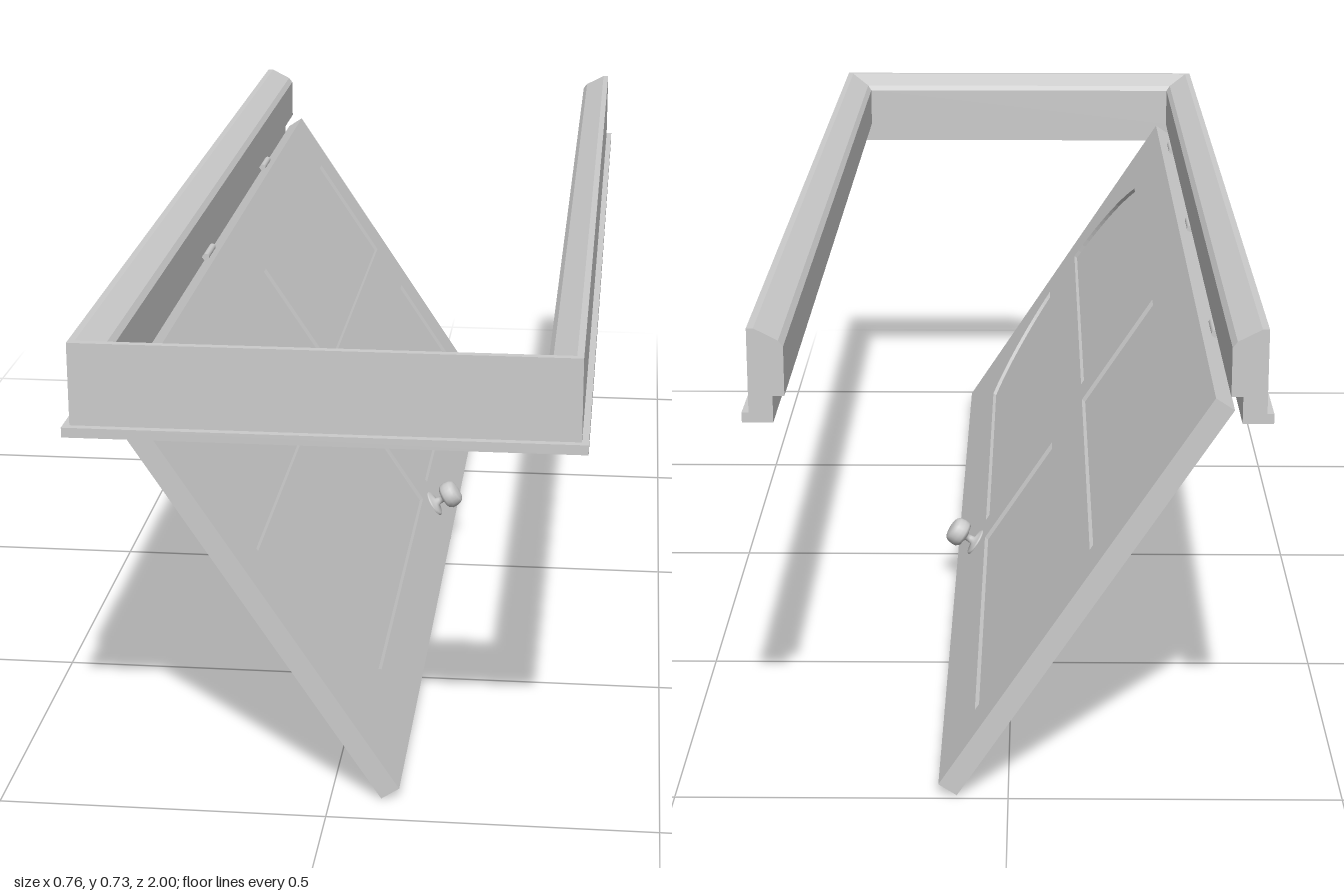
import * as THREE from 'three';

const mat = new THREE.MeshStandardMaterial({ color: 0xcccccc });
const flat = new THREE.MeshStandardMaterial({ color: 0xcccccc, flatShading: true });

function add(parent, name, geometry, material = mat) {
  const mesh = new THREE.Mesh(geometry, material);
  mesh.name = name;
  parent.add(mesh);
  return mesh;
}

const HALF_W = 0.38, BACK = -1, FRONT = 1;

// Frame section: inset from the outer edge, height
const SECTION = [
  [0, 0.595], [0, 0.61], [0.01, 0.61], [0.01, 0.735], [0.02, 0.735],
  [0.055, 0.717], [0.062, 0.708], [0.062, 0.635], [0.045, 0.635], [0.045, 0.595],
];

// Three-sided mitred frame, open at the back
function frameGeometry() {
  const at = (station, [d, y]) => {
    const side = station < 2 ? 1 : -1;
    const z = station === 0 || station === 3 ? BACK : FRONT - d * 1.18;
    return [side * (HALF_W - d), y, z];
  };
  const pos = [];
  for (let s = 0; s < 3; s++) {
    SECTION.forEach((p, i) => {
      const q = SECTION[(i + 1) % SECTION.length];
      const a = at(s, p), b = at(s + 1, p), c = at(s + 1, q), d = at(s, q);
      pos.push(...a, ...d, ...c, ...a, ...c, ...b);
    });
  }
  const g = new THREE.BufferGeometry();
  g.setAttribute('position', new THREE.Float32BufferAttribute(pos, 3));
  g.computeVertexNormals();
  return g;
}

// Door coordinates: u across its width, v along its length (world z), n through it
const WIDTH = 0.73, V0 = -0.99, V1 = 0.935, THICK = 0.033, RECESS = 0.007;
const PANELS = [[0.096, 0.314], [0.41, 0.631]];

function rectPath(u0, u1, v0, v1, Type = THREE.Path) {
  return new Type([[u0, v0], [u1, v0], [u1, v1], [u0, v1]].map(p => new THREE.Vector2(...p)));
}

// Panel whose far end follows an arch centred on the door
function archPath(u0, u1, v0) {
  const mid = WIDTH / 2, cv = 0.536, r = 0.307;
  const pts = [new THREE.Vector2(u0, v0), new THREE.Vector2(u1, v0)];
  for (let i = 0; i <= 14; i++) {
    const u = u1 + (u0 - u1) * i / 14;
    pts.push(new THREE.Vector2(u, cv + Math.sqrt(r * r - (u - mid) ** 2)));
  }
  return new THREE.Path(pts);
}

function createDoor() {
  const door = new THREE.Group();
  door.name = 'door';

  // Core slab forms the floors of the panels
  const core = add(door, 'doorCore',
    new THREE.BoxGeometry(WIDTH, V1 - V0, THICK - 2 * RECESS));
  core.position.set(WIDTH / 2, (V0 + V1) / 2, 0);

  // Face layers with the panel openings
  const face = rectPath(0, WIDTH, V0, V1, THREE.Shape);
  for (const [u0, u1] of PANELS) {
    face.holes.push(rectPath(u0, u1, -0.9, -0.17), archPath(u0, u1, -0.08));
  }
  const layer = new THREE.ExtrudeGeometry(face, { depth: RECESS, bevelEnabled: false });
  add(door, 'upperFace', layer).position.z = THICK / 2 - RECESS;
  add(door, 'lowerFace', layer).position.z = -THICK / 2;

  // Knob, stem and rosette on both faces
  const profile = [
    [0, 0.014], [0.025, 0.014], [0.025, 0.018], [0.0225, 0.02], [0.0075, 0.0235],
    [0.0065, 0.03], [0.0065, 0.036], [0.012, 0.039], [0.021, 0.041], [0.0245, 0.046],
    [0.025, 0.054], [0.0235, 0.063], [0.02, 0.068], [0.012, 0.0705], [0, 0.071],
  ].map(p => new THREE.Vector2(...p));
  const knob = new THREE.LatheGeometry(profile, 20);
  for (const s of [1, -1]) {
    const m = add(door, s > 0 ? 'upperKnob' : 'lowerKnob', knob);
    m.position.set(0.064, -0.125, 0);
    m.rotation.x = s * Math.PI / 2;
  }

  // Wedge-shaped latch on the free edge
  const wedge = new THREE.Shape([[0.002, -0.006], [0.002, 0.006], [-0.012, 0.006]]
    .map(p => new THREE.Vector2(...p)));
  const latch = add(door, 'latch',
    new THREE.ExtrudeGeometry(wedge, { depth: 0.014, bevelEnabled: false }), flat);
  latch.rotation.x = Math.PI / 2;
  latch.position.set(0, -0.118, 0);

  // Swing the door open below the frame
  const a = THREE.MathUtils.degToRad(56.6);
  const c = Math.cos(a), s = Math.sin(a);
  const m = new THREE.Matrix4().makeBasis(
    new THREE.Vector3(-c, s, 0), new THREE.Vector3(0, 0, 1), new THREE.Vector3(s, c, 0));
  door.quaternion.setFromRotationMatrix(m);
  door.position.set(0.091, 0.0115, 0);
  return door;
}

export function createModel() {
  const model = new THREE.Group();
  model.name = 'doorAndFrame';

  const frame = new THREE.Group();
  frame.name = 'frame';
  model.add(frame);
  add(frame, 'frameMoulding', frameGeometry(), flat);

  // Cut ends of the two rails
  for (const s of [1, -1]) {
    const shape = new THREE.Shape(
      SECTION.map(([d, y]) => new THREE.Vector2(s * (HALF_W - d), y)));
    const cap = new THREE.ShapeGeometry(shape);
    cap.rotateY(Math.PI);
    add(frame, 'railEnd', cap).position.z = BACK;
  }

  // Strike plate opposite the latch
  add(frame, 'strikePlate', new THREE.BoxGeometry(0.003, 0.026, 0.04))
    .position.set(0.3345, 0.615, -0.125);

  // Hinges between the rail and the door
  for (const z of [0.75, 0.08, -0.6]) {
    const hinge = new THREE.Group();
    hinge.name = 'hinge';
    hinge.position.set(-0.32, 0.621, z);
    add(hinge, 'hingePin', new THREE.CylinderGeometry(0.006, 0.006, 0.07, 12))
      .rotation.x = Math.PI / 2;
    add(hinge, 'hingeLeaf', new THREE.BoxGeometry(0.02, 0.003, 0.07)).position.x = -0.008;
    model.add(hinge);
  }

  model.add(createDoor());
  return model;
}
